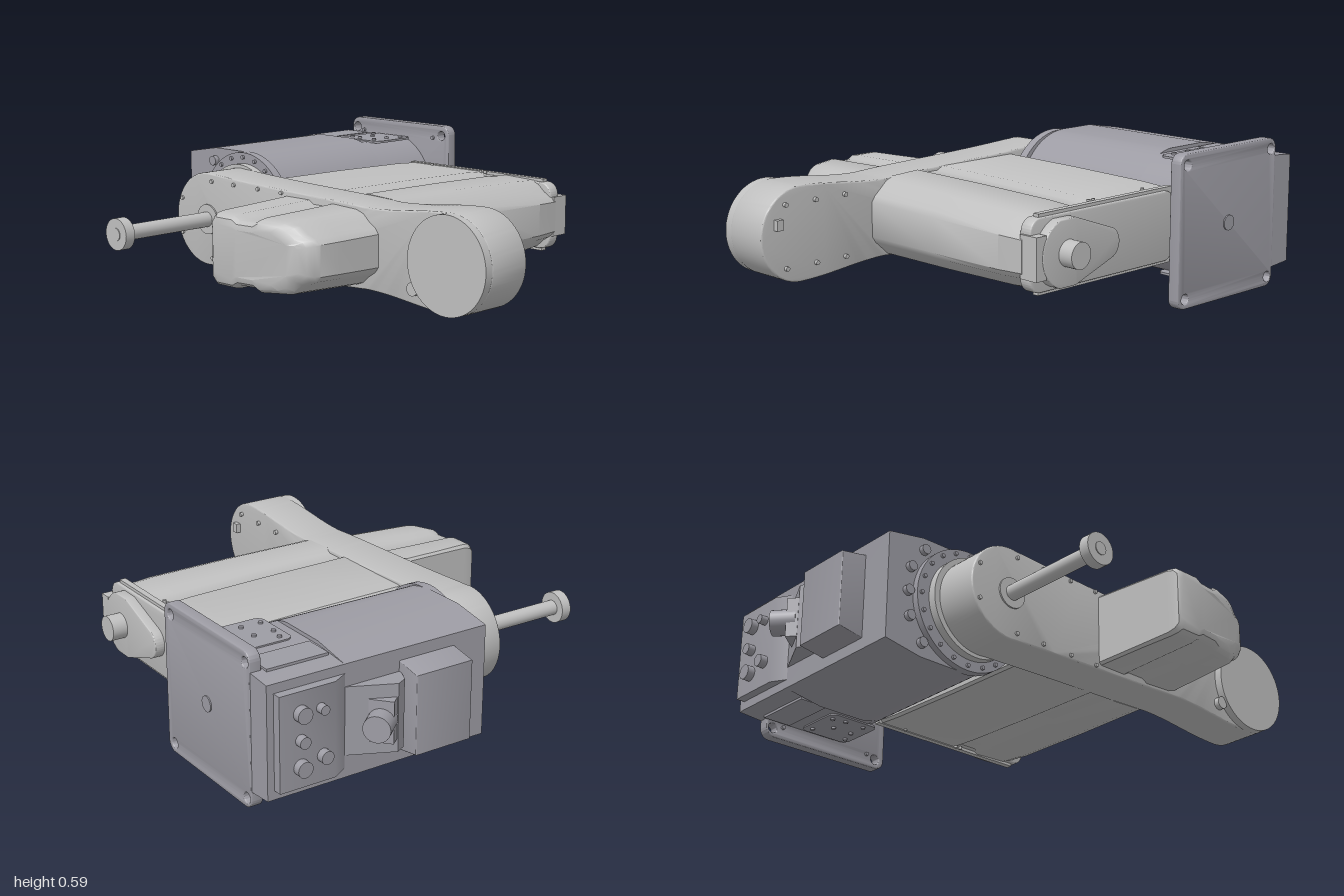
import * as THREE from 'three';
import { toCreasedNormals } from 'three/addons/utils/BufferGeometryUtils.js';

const CY = 0.3; // height of the common centre plane

export function createModel() {
  const root = new THREE.Group();
  root.name = 'robotArm';
  const mat = (name, color) => {
    const m = new THREE.MeshStandardMaterial({ color });
    m.name = name;
    return m;
  };
  const light = mat('armGrey', 0xbfbfbf);
  const dark = mat('baseGrey', 0x9d9ca4);

  const add = (name, geo, material) => {
    const m = new THREE.Mesh(geo, material);
    m.name = name;
    root.add(m);
    return m;
  };
  const box = (name, x0, x1, y0, y1, z0, z1, material) => {
    const m = add(name, new THREE.BoxGeometry(x1 - x0, y1 - y0, z1 - z0), material);
    m.position.set((x0 + x1) / 2, (y0 + y1) / 2, (z0 + z1) / 2);
    return m;
  };
  // Cylinder from one point to another
  const rod = (name, a, b, r, material, sides = 32) => {
    const p = new THREE.Vector3(...a), q = new THREE.Vector3(...b), d = q.clone().sub(p);
    const m = add(name, new THREE.CylinderGeometry(r, r, d.length(), sides), material);
    m.position.copy(p).add(q).multiplyScalar(0.5);
    m.quaternion.setFromUnitVectors(new THREE.Vector3(0, 1, 0), d.normalize());
    return m;
  };
  const zRod = (name, x, y, z0, z1, r, material, sides) =>
    rod(name, [x, y, z0], [x, y, z1], r, material, sides);
  // Extrude an xy shape between two depths
  const slab = (name, shape, z0, z1, material, bevel = 0) => {
    const g = new THREE.ExtrudeGeometry(shape, {
      depth: z1 - z0 - 2 * bevel, curveSegments: 24, bevelEnabled: bevel > 0,
      bevelSize: bevel, bevelOffset: -bevel, bevelThickness: bevel, bevelSegments: 3,
    });
    g.translate(0, 0, z0 + bevel);
    return add(name, toCreasedNormals(g, 0.6), material);
  };
  const roundRect = (x0, x1, y0, y1, r) => {
    const s = new THREE.Shape();
    s.absarc(x1 - r, y1 - r, r, 0, Math.PI / 2);
    s.absarc(x0 + r, y1 - r, r, Math.PI / 2, Math.PI);
    s.absarc(x0 + r, y0 + r, r, Math.PI, Math.PI * 1.5);
    s.absarc(x1 - r, y0 + r, r, Math.PI * 1.5, Math.PI * 2);
    return s;
  };
  // Skin a row of equal-length counter-clockwise sections, closed at both ends
  const loft = (name, rings, material) => {
    const n = rings[0].length, idx = [];
    for (let i = 0; i < rings.length - 1; i++) for (let j = 0; j < n; j++) {
      const a = i * n + j, b = i * n + (j + 1) % n;
      idx.push(a, b, b + n, a, b + n, a + n);
    }
    const cap = (ring, off, flip) => {
      const flat = ring.map(p => new THREE.Vector2(p[0], p[1]));
      for (const [a, b, c] of THREE.ShapeUtils.triangulateShape(flat, []))
        idx.push(off + a, off + (flip ? c : b), off + (flip ? b : c));
    };
    cap(rings[0], 0, true);
    cap(rings.at(-1), (rings.length - 1) * n, false);
    const g = new THREE.BufferGeometry();
    g.setAttribute('position', new THREE.Float32BufferAttribute(rings.flat(2), 3));
    g.setIndex(idx);
    return add(name, toCreasedNormals(g, 0.6), material);
  };
  // Housing section: grooved top and bottom, rounded right end
  const section = (xl, xr, h, z, lc = 0.01, bow = 0) => {
    const lower = [
      [xl, -h + lc], [xl + lc, -h], [0.1, -h], [0.125, -h + 0.014], [0.2, -h + 0.014], [0.225, -h],
      [xr - 0.11, -h + 0.006], [xr - 0.075, -h + 0.018], [xr - 0.045, -h + 0.045],
      [xr - 0.015, -h * 0.56], [xr, -h * 0.42],
    ];
    const all = lower.concat(lower.map(([x, y]) => [x, -y]).reverse());
    return all.map(([x, y]) => [x, CY + y, z - bow * Math.max(0, (x - 0.08) / 0.35) ** 2]);
  };

  // Base body: flat-sided on the left, cylindrical on the right
  const bodyShape = top => {
    const R = 0.244, cx = -0.525, a = Math.asin(Math.min(1, top / R)), s = new THREE.Shape();
    s.moveTo(-0.86, CY - 0.215);
    s.lineTo(-0.7, CY - top);
    s.absarc(cx, CY, R, -a, a, false);
    s.lineTo(-0.7, CY + top);
    s.lineTo(-0.86, CY + 0.215);
    s.closePath();
    return s;
  };
  slab('baseBody', bodyShape(0.243), -0.5, 0.11, dark);
  slab('baseBodyRear', bodyShape(0.229), -0.812, -0.5, dark);

  // Mounting plate with bolt holes and corner pads
  const plate = roundRect(-0.76, -0.185, 0.005, 0.595, 0.04);
  for (const x of [-0.73, -0.228]) for (const y of [0.043, 0.552]) {
    const h = new THREE.Path();
    h.absarc(x, y, 0.02, 0, Math.PI * 2, true);
    plate.holes.push(h);
    const inX = x < -0.5 ? 0.045 : -0.045, inY = y < 0.3 ? 0.055 : -0.055;
    zRod('plateBolt', x + inX, y + inY * 0.2, -0.768, -0.758, 0.008, dark, 10);
  }
  slab('mountingPlate', plate, -0.815, -0.768, dark, 0.004);
  zRod('plateCentreBoss', -0.475, CY, -0.82, -0.81, 0.03, dark);

  // Service covers on both flat faces of the base
  for (const s of [-1, 1]) {
    const at = (y0, y1) => [CY + s * y0, CY + s * y1].sort((a, b) => a - b);
    box('narrowCover', -0.78, -0.66, ...at(0.215, 0.232), -0.76, -0.51, dark);
    const c = slab('screwedCover', roundRect(-0.61, -0.39, 0.54, 0.755, 0.03), 0, 0.009, dark);
    c.rotation.x = -Math.PI / 2;
    c.position.y = CY + s * 0.23 - 0.0045;
    for (const [x, z] of [[-0.58, -0.715], [-0.42, -0.715], [-0.525, -0.65], [-0.44, -0.65],
      [-0.58, -0.58], [-0.525, -0.57], [-0.44, -0.57]])
      rod('coverScrew', [x, CY + s * 0.23, z], [x, CY + s * 0.242, z], 0.009, dark, 10);
  }

  // Side junction box, tapering outward
  const trap = new THREE.Shape([[-0.85, 0.128], [-0.85, 0.472], [-0.965, 0.452], [-0.965, 0.148]]
    .map(p => new THREE.Vector2(...p)).reverse());
  slab('junctionBox', trap, -0.27, -0.03, dark, 0.004);

  // Slanted cable connector on a wedge
  const wedge = new THREE.Shape([[-0.85, 0.52], [-0.85, 0.26], [-0.92, 0.29], [-0.94, 0.33]]
    .map(p => new THREE.Vector2(...p)));
  const w = slab('connectorWedge', wedge, 0.17, 0.43, dark);
  w.rotation.x = -Math.PI / 2;
  const plug = new THREE.Group();
  plug.name = 'cableConnector';
  plug.position.set(-0.91, CY, -0.37);
  plug.rotation.y = -0.95;
  const body = new THREE.Mesh(new THREE.BoxGeometry(0.09, 0.16, 0.07), dark);
  body.name = 'connectorBody';
  const cap = new THREE.Mesh(new THREE.CylinderGeometry(0.05, 0.05, 0.1, 28), dark);
  cap.name = 'connectorCap';
  cap.rotation.x = Math.PI / 2;
  cap.position.z = -0.05;
  plug.rotation.y = 0.7;
  plug.add(body, cap);
  root.add(plug);

  // Rear connection panel with sockets
  const panel = new THREE.Shape([[-0.85, 0.48], [-0.85, 0.785], [-0.895, 0.785], [-0.895, 0.56]]
    .map(p => new THREE.Vector2(...p)).reverse());
  const pm = slab('connectionPanel', panel, 0.12, 0.48, dark);
  pm.rotation.x = -Math.PI / 2;
  for (const [y, z, r] of [[0.4, -0.7, 0.03], [0.3, -0.7, 0.022], [0.2, -0.7, 0.03],
    [0.4, -0.62, 0.018], [0.22, -0.61, 0.025]])
    rod('panelSocket', [-0.89, y, z], [-0.925, y, z], r, dark, 20);

  // Joint flange with a ring of screws
  zRod('jointFlange', -0.5, CY, 0.1, 0.137, 0.244, dark, 64);
  zRod('jointHub', -0.49, CY, 0.13, 0.17, 0.2, light, 64);
  for (let i = 0; i < 20; i++) {
    const a = i / 20 * Math.PI * 2;
    zRod('flangeScrew', -0.5 + 0.225 * Math.cos(a), CY + 0.225 * Math.sin(a), 0.13, 0.146, 0.008, dark, 10);
  }
  for (const [y, x] of [[0.49, -0.7], [0.4, -0.76], [0.3, -0.77], [0.2, -0.76], [0.11, -0.7]])
    zRod('baseBolt', x, y, 0.1, 0.13, 0.02, dark, 12);

  // Cross arm: rounded ends with a slim waist
  const arm = new THREE.Shape();
  arm.absarc(0.808, CY, 0.182, -Math.PI / 2, Math.PI / 2);
  arm.bezierCurveTo(0.65, 0.48, 0.55, 0.452, 0.4, 0.452);
  arm.bezierCurveTo(0.2, 0.465, -0.05, 0.462, -0.42, 0.483);
  arm.absarc(-0.48, CY, 0.186, Math.PI * 0.45, Math.PI * 1.55);
  arm.bezierCurveTo(-0.05, 0.138, 0.2, 0.135, 0.4, 0.148);
  arm.bezierCurveTo(0.55, 0.148, 0.65, 0.12, 0.808, 0.118);
  slab('crossArm', arm, 0.163, 0.35, light, 0.006);
  zRod('armEndCover', 0.808, CY, 0.34, 0.382, 0.181, light, 64);
  box('armEndStop', 0.9, 0.93, 0.33, 0.37, 0.143, 0.17, light);
  zRod('armStopPin', 0.64, 0.19, 0.34, 0.372, 0.025, light);
  for (const s of [-1, 1]) {
    for (const x of [-0.45, -0.32, -0.18, -0.05])
      zRod('armScrew', x, CY + s * 0.155, 0.345, 0.358, 0.008, light, 10);
    zRod('armScrew', -0.63, CY + s * 0.07, 0.345, 0.358, 0.008, light, 10);
    for (const x of [0.6, 0.74, 0.88])
      zRod('armBackScrew', x, CY + s * 0.12, 0.15, 0.17, 0.009, light, 10);
  }

  // Output shaft with end flange
  zRod('shaftCollar', -0.477, CY, 0.345, 0.356, 0.06, light, 40);
  zRod('outputShaft', -0.477, CY, 0.35, 0.79, 0.03, light);
  zRod('shaftFlange', -0.477, CY, 0.77, 0.812, 0.062, light, 40);
  zRod('shaftTip', -0.477, CY, 0.8, 0.815, 0.025, light);

  // Long housing behind the arm, widening to the rear
  loft('rearHousing', [
    section(-0.29, 0.482, 0.143, -0.66), section(-0.29, 0.488, 0.15, -0.55),
    section(-0.29, 0.478, 0.158, -0.2), section(-0.29, 0.465, 0.162, 0.17),
  ], light);
  slab('housingRearCap', roundRect(-0.3, 0.47, 0.165, 0.435, 0.05), -0.692, -0.64, light, 0.005);
  box('housingRim', -0.3, 0.42, 0.153, 0.447, -0.68, -0.655, light);
  const pod = new THREE.Shape();
  pod.absarc(0.32, CY, 0.13, -Math.PI * 0.4, Math.PI * 0.4);
  pod.absarc(0.32, CY, 0.13, Math.PI * 0.6, Math.PI * 0.62);
  pod.absarc(0.11, CY, 0.06, Math.PI * 0.62, Math.PI * 1.38);
  pod.absarc(0.32, CY, 0.13, Math.PI * 1.38, Math.PI * 1.4);
  slab('rearPod', pod, -0.732, -0.68, light, 0.004);
  box('rearBracket', 0.43, 0.48, 0.22, 0.38, -0.73, -0.65, light);
  zRod('rearStub', 0.32, CY, -0.793, -0.72, 0.05, light);
  for (const s of [-1, 1]) for (const x of [-0.17, 0.1, 0.125])
    rod('housingScrew', [x, CY + s * 0.14, -0.645], [x, CY + s * 0.152, -0.645], 0.007, light, 10);

  // Front cover with rounded, swept-back nose
  loft('frontCover', [
    section(-0.032, 0.458, 0.146, 0.34), section(-0.02, 0.448, 0.14, 0.55, 0.01, 0.02),
    section(-0.012, 0.44, 0.137, 0.69, 0.012, 0.06), section(-0.01, 0.432, 0.132, 0.722, 0.015, 0.075),
    section(-0.006, 0.415, 0.12, 0.738, 0.02, 0.075), section(0.004, 0.39, 0.1, 0.744, 0.02, 0.07),
  ], light);

  return root;
}
